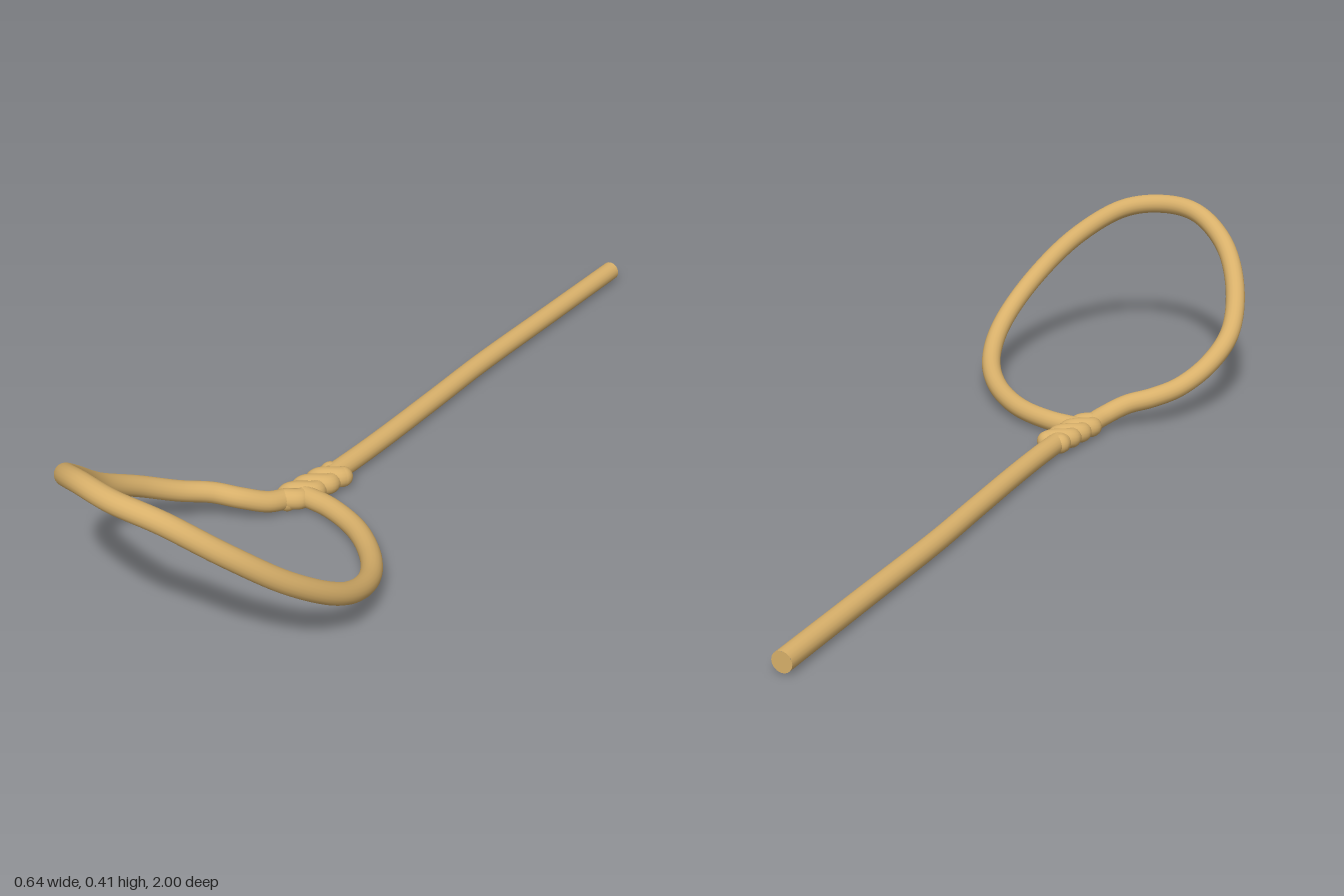
import * as THREE from 'three';

export function createModel() {
  const model = new THREE.Group();
  model.name = 'lasso';
  const rope = new THREE.MeshStandardMaterial({ color: 0xd8b06a });
  rope.name = 'tan rope';
  const R = 0.0232;
  const Y = 0.0262;

  // Rope along a smooth path
  function addRope(name, points, segments) {
    const path = new THREE.CatmullRomCurve3(points.map((p) => new THREE.Vector3(...p)));
    path.arcLengthDivisions = 800;
    const mesh = new THREE.Mesh(new THREE.TubeGeometry(path, segments, R, 18, false), rope);
    mesh.name = name;
    model.add(mesh);
  }

  // Rounded or flat rope ends
  function addBall(name, x, y, z) {
    const ball = new THREE.Mesh(new THREE.SphereGeometry(R, 18, 12), rope);
    ball.name = name;
    ball.position.set(x, y, z);
    model.add(ball);
  }

  // Straight tail, easing sideways toward the knot
  addRope('tail', [
    [-0.09, Y, -1], [-0.09, Y, -0.7], [-0.09, Y, -0.4], [-0.083, Y, -0.2],
    [-0.077, Y, 0], [-0.076, Y, 0.12], [-0.078, Y, 0.22],
  ], 60);
  const cap = new THREE.Mesh(new THREE.CircleGeometry(R, 18), rope);
  cap.name = 'tailEnd';
  cap.position.set(-0.09, Y, -1);
  cap.rotation.y = Math.PI;
  model.add(cap);

  // Raised loop, from the knot round the left side, the front and back
  addRope('loop', [
    [-0.075, Y, 0.31], [0, 0.027, 0.317], [0.1, 0.03, 0.355], [0.2, 0.042, 0.438],
    [0.267, 0.068, 0.54], [0.296, 0.118, 0.66], [0.27, 0.205, 0.79],
    [0.2, 0.297, 0.89], [0.1, 0.366, 0.953], [0, 0.386, 0.974], [-0.1, 0.381, 0.954],
    [-0.2, 0.332, 0.893], [-0.27, 0.255, 0.8], [-0.3, 0.175, 0.7], [-0.286, 0.122, 0.6],
    [-0.245, 0.084, 0.52], [-0.2, 0.068, 0.465], [-0.15, 0.054, 0.43],
    [-0.113, 0.035, 0.385], [-0.097, Y, 0.34],
  ], 240);

  // Knot: two flat strands weaving across each other
  for (const [name, side] of [['knotStrandA', 1], ['knotStrandB', -1]]) {
    const points = [];
    for (let i = 0; i <= 24; i++) {
      const t = i / 24;
      const a = t * Math.PI * 3.5;
      points.push([
        -0.07 - 0.024 * t + side * 0.017 * Math.cos(a),
        Y + side * 0.0025 * Math.sin(a),
        0.2 + 0.145 * t,
      ]);
    }
    addRope(name, points, 70);
    addBall(name + 'Start', ...points[0]);
    addBall(name + 'End', ...points[24]);
  }
  return model;
}
